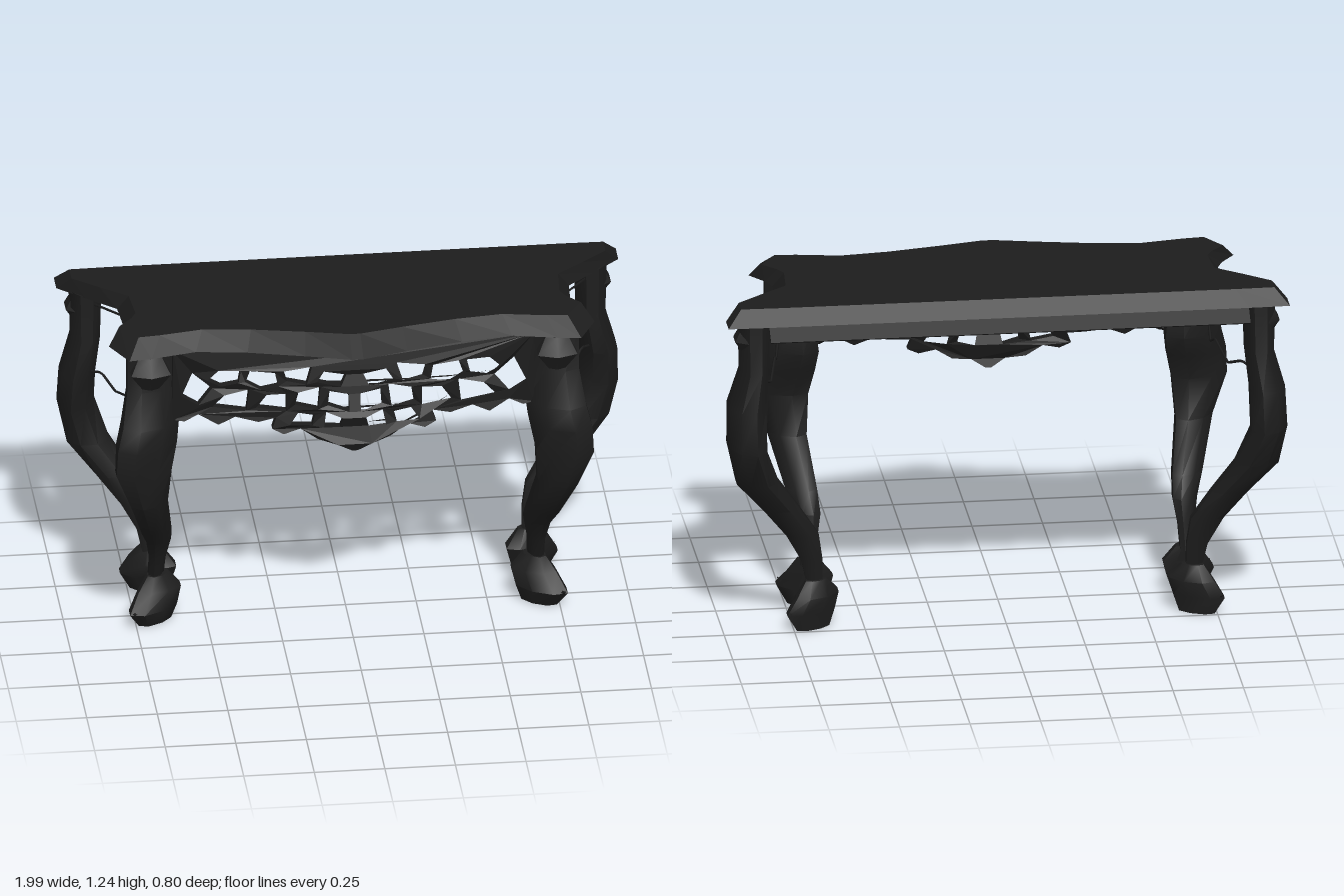
import * as THREE from 'three';
import { toCreasedNormals } from 'three/addons/utils/BufferGeometryUtils.js';

const ebony = new THREE.MeshStandardMaterial({ color: 0x1d1d1d });
ebony.name = 'ebony';

function part(group, name, geometry) {
  const mesh = new THREE.Mesh(geometry, ebony);
  mesh.name = name;
  group.add(mesh);
  return mesh;
}

// Octagonal loft through rows of [y, xMin, xMax, zMin, zMax, skew], bottom to top.
// A positive skew stretches the section along the +x +z diagonal.
function loft(rows, side, sides = 8) {
  const step = (Math.PI * 2) / sides, grow = 1 / Math.cos(step / 2);
  const P = (i, j) => {
    const [y, x0, x1, z0, z1, skew = 0] = rows[i], a = (j + 0.5) * step, k = skew * side;
    const c = grow * Math.cos(a), s = grow * Math.sin(a);
    return [side * (x0 + x1) / 2 + (x1 - x0) / 2 * c, y,
      (z0 + z1) / 2 + (z1 - z0) / 2 * (k * c + Math.sqrt(1 - k * k) * s)];
  };
  const v = [], last = rows.length - 1;
  for (let j = 0; j < sides; j++) {
    for (let i = 0; i < last; i++) {
      v.push(...P(i, j), ...P(i + 1, j), ...P(i, j + 1));
      v.push(...P(i + 1, j), ...P(i + 1, j + 1), ...P(i, j + 1));
    }
    if (j > 0 && j < sides - 1) {
      v.push(...P(0, 0), ...P(0, j), ...P(0, j + 1));
      v.push(...P(last, 0), ...P(last, j + 1), ...P(last, j));
    }
  }
  const g = new THREE.BufferGeometry();
  g.setAttribute('position', new THREE.Float32BufferAttribute(v, 3));
  return toCreasedNormals(g, 0.8);
}

// Apply a rule to every vertex
function reshape(g, rule) {
  const p = g.attributes.position, v = new THREE.Vector3();
  for (let i = 0; i < p.count; i++) {
    rule(v.fromBufferAttribute(p, i));
    p.setXYZ(i, v.x, v.y, v.z);
  }
  g.computeVertexNormals();
  return g;
}

const mirrored = (half) => [...half, ...half.map(([x, y]) => [-x, y]).reverse()];
const vec2 = (pts) => pts.map(([x, y]) => new THREE.Vector2(x, y));

// Serpentine top with a rim sloping in toward the upper face
function tabletop() {
  const half = [[0.85, -0.343], [0.995, -0.34], [0.995, -0.26], [0.9, -0.17],
    [0.8, -0.08], [0.79, 0.08], [0.81, 0.13], [0.86, 0.2], [0.8, 0.32], [0.72, 0.31],
    [0.56, 0.275], [0.38, 0.3], [0.18, 0.35], [0.02, 0.395]];
  const shape = new THREE.Shape(vec2(mirrored(half.map(([x, z]) => [x, -z]))));
  const g = new THREE.ExtrudeGeometry(shape, { depth: 0.055, bevelEnabled: false });
  g.rotateX(-Math.PI / 2);
  return reshape(g, (v) => {
    if (v.y > 0.03) { v.x *= 0.95; v.z *= v.z > 0 ? 0.77 : 0.86; }
    v.y += 1.18;
  });
}

// Pierced front apron, bowed to follow the top and carved in relief
function apron() {
  const half = [[0.64, 1.18], [0.64, 0.9], [0.6, 0.9], [0.55, 0.925], [0.48, 0.885], [0.42, 0.91],
    [0.34, 0.895], [0.275, 0.9], [0.29, 0.86], [0.25, 0.84], [0.19, 0.855], [0.13, 0.815],
    [0.06, 0.8], [0.01, 0.77]];
  const holes = [
    [[0.4, 1.09], [0.48, 1.1], [0.52, 1.06], [0.47, 1.03], [0.41, 1.05]],
    [[0.28, 1.08], [0.37, 1.095], [0.385, 1.05], [0.33, 1.02], [0.27, 1.03]],
    [[0.15, 1.1], [0.25, 1.09], [0.24, 1.05], [0.17, 1.04]],
    [[0.03, 1.07], [0.11, 1.09], [0.135, 1.05], [0.05, 1.03]],
    [[0.5, 1.02], [0.57, 1.08], [0.61, 1], [0.55, 0.96]],
    [[0.37, 1.015], [0.46, 1], [0.5, 0.95], [0.38, 0.93]],
    [[0.24, 1], [0.31, 0.995], [0.345, 0.94], [0.24, 0.925]],
    [[0.12, 1.02], [0.2, 1.01], [0.21, 0.95], [0.13, 0.94]],
    [[0.02, 0.99], [0.09, 1.01], [0.095, 0.95], [0.02, 0.93]],
    [[0.14, 0.91], [0.2, 0.925], [0.23, 0.88], [0.15, 0.87]],
    [[0.04, 0.9], [0.1, 0.92], [0.11, 0.87], [0.05, 0.86]],
  ];
  const shape = new THREE.Shape(vec2(mirrored(half)));
  for (const h of holes)
    for (const s of [1, -1]) shape.holes.push(new THREE.Path(vec2(h.map(([x, y]) => [s * x, y]))));
  const g = new THREE.ExtrudeGeometry(shape, { depth: 0.03, bevelEnabled: false });
  return reshape(g, (v) => {
    const ax = Math.abs(v.x);
    v.z += 0.275 - 0.09 * ax + 0.012 * Math.sin(ax * 47 + v.y * 61);
  });
}

// Thin square moulding along a path of points
function moulding(points, side) {
  const path = new THREE.CurvePath();
  const p = points.map(([x, y, z]) => new THREE.Vector3(side * x, y, z));
  for (let i = 1; i < p.length; i++) path.add(new THREE.LineCurve3(p[i - 1], p[i]));
  return new THREE.TubeGeometry(path, 16, 0.005, 4);
}

const FRONT_LEG = [
  [0.16, 0.645, 0.7, -0.045, 0.04, 0.3], [0.25, 0.64, 0.7, -0.01, 0.07, 0.3],
  [0.34, 0.625, 0.715, 0.01, 0.12, 0.3], [0.41, 0.63, 0.74, 0.065, 0.18, 0.3],
  [0.58, 0.655, 0.79, 0.165, 0.305, 0.35], [0.72, 0.645, 0.845, 0.205, 0.33, 0.35],
  [0.82, 0.625, 0.84, 0.165, 0.34, 0.35], [0.9, 0.615, 0.82, 0.13, 0.325, 0.35],
  [1.02, 0.63, 0.8, 0.16, 0.26, 0.3], [1.185, 0.635, 0.8, 0.17, 0.26, 0.3]];
const BACK_LEG = [
  [0.16, 0.645, 0.7, -0.2, -0.165], [0.25, 0.645, 0.72, -0.215, -0.165],
  [0.35, 0.66, 0.775, -0.235, -0.16], [0.46, 0.73, 0.86, -0.275, -0.175],
  [0.58, 0.81, 0.96, -0.335, -0.2], [0.72, 0.86, 0.99, -0.395, -0.195, 0.3],
  [0.86, 0.86, 0.985, -0.36, -0.155, 0.2], [1, 0.845, 0.945, -0.33, -0.175],
  [1.185, 0.84, 0.95, -0.315, -0.18]];
const FRONT_FOOT = [
  [0, 0.62, 0.74, -0.01, 0.085, 0.6], [0.06, 0.6, 0.775, -0.015, 0.12, 0.6],
  [0.12, 0.585, 0.74, -0.018, 0.07, 0.5], [0.175, 0.63, 0.705, -0.02, 0.05, 0.4]];
const BACK_FOOT = [
  [0, 0.62, 0.74, -0.24, -0.16, -0.6], [0.06, 0.6, 0.775, -0.25, -0.14, -0.6],
  [0.12, 0.585, 0.74, -0.25, -0.118, -0.5], [0.175, 0.63, 0.705, -0.215, -0.165, -0.4]];

export function createModel() {
  const table = new THREE.Group();
  table.name = 'consoleTable';
  part(table, 'tabletop', tabletop());
  part(table, 'piercedApron', apron());

  // Thin moulding flaring out and down below the back rim
  const rail = new THREE.BoxGeometry(1.7, 0.005, 0.075);
  rail.rotateX(-0.65);
  part(table, 'backMoulding', rail).position.set(0, 1.16, -0.355);

  for (const s of [1, -1]) {
    const side = s > 0 ? 'left' : 'right';
    part(table, side + 'FrontLeg', loft(FRONT_LEG, s));
    part(table, side + 'BackLeg', loft(BACK_LEG, s));
    part(table, side + 'FrontFoot', loft(FRONT_FOOT, s));
    part(table, side + 'BackFoot', loft(BACK_FOOT, s));

    // Small claws on the feet
    for (const [z, dir] of [[0.11, 1], [-0.235, -1]]) {
      const claw = part(table, side + 'Claw', new THREE.ConeGeometry(0.018, 0.055, 4));
      claw.position.set(s * 0.755, 0.06, z);
      claw.rotation.set(dir * 1, 0, -s * 0.5);
    }

    // Carved leaves at the tops of the legs
    part(table, side + 'FrontLeaf', loft([[1.04, 0.69, 0.75, 0.23, 0.28],
      [1.1, 0.65, 0.79, 0.22, 0.305], [1.16, 0.68, 0.76, 0.22, 0.27]], s, 6));
    part(table, side + 'BackLeaf', loft([[1.05, 0.88, 0.925, -0.3, -0.22],
      [1.11, 0.87, 0.965, -0.31, -0.2], [1.16, 0.87, 0.94, -0.29, -0.22]], s, 6));

    // Open frame between the front and back legs
    part(table, side + 'SideStretcher', moulding([[0.77, 0.89, 0.125], [0.78, 0.915, 0.08],
      [0.81, 0.87, -0.05], [0.85, 0.905, -0.13], [0.88, 0.89, -0.17]], s));
    part(table, side + 'SidePost', moulding([[0.76, 1.16, 0.142], [0.76, 1.02, 0.137], [0.77, 0.89, 0.125]], s));
    part(table, side + 'SideArch', moulding([[0.76, 1.15, 0.17], [0.76, 1.155, 0.14], [0.78, 1.175, -0.03],
      [0.85, 1.155, -0.15], [0.87, 1.145, -0.19]], s));
  }
  return table;
}
